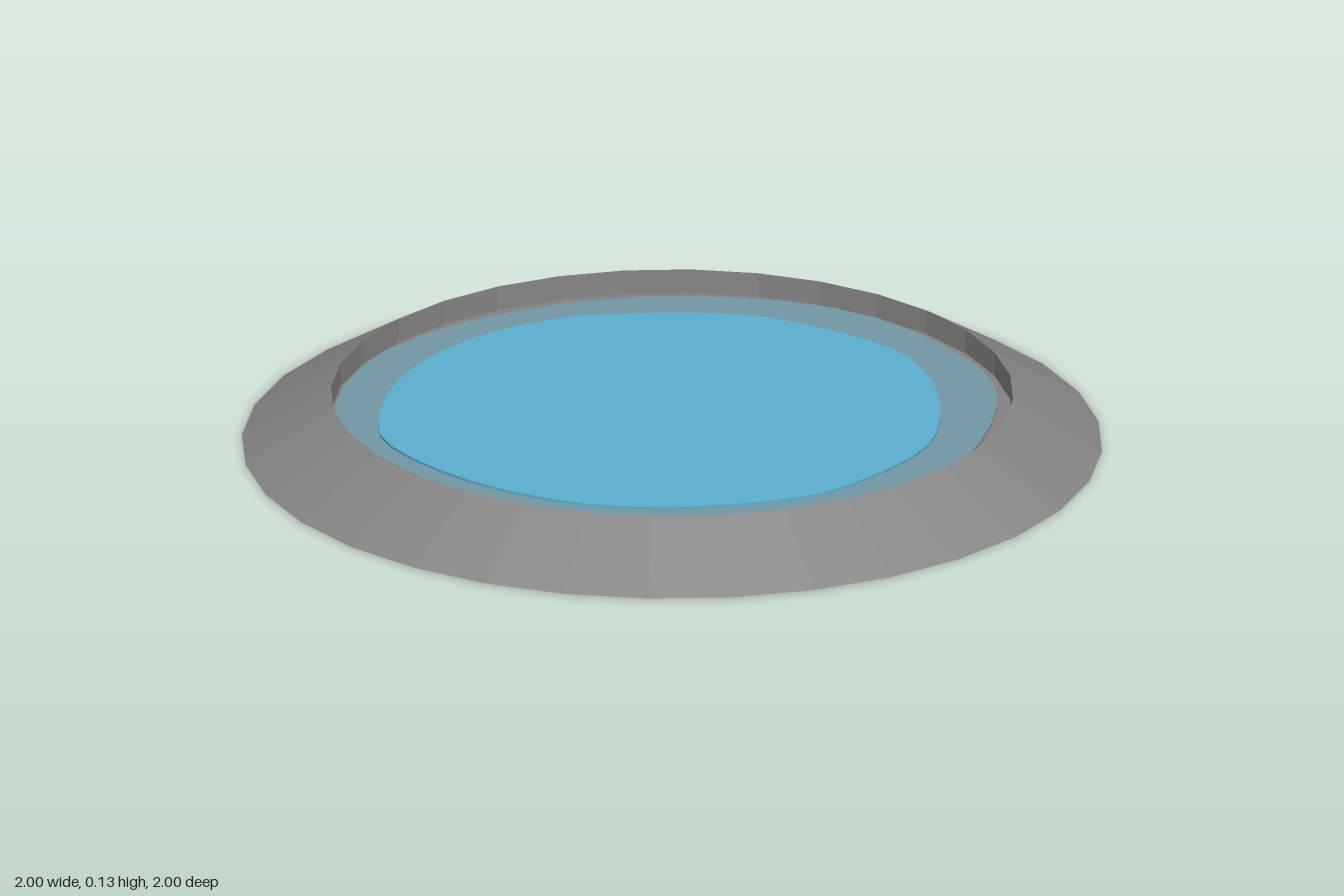
import * as THREE from 'three';

const material = (name, color, extra = {}) => {
  const m = new THREE.MeshStandardMaterial({ color, ...extra });
  m.name = name;
  return m;
};

export function createModel() {
  const group = new THREE.Group();
  const stone = material('stone grey', 0x868686, { flatShading: true });
  const bed = material('warm grey', 0x868082, { flatShading: true });
  const shallow = material('shallow blue grey', 0x7398a5, { flatShading: true });
  const water = material('water blue', 0x5bb0d0, { flatShading: true });

  const add = (name, geometry, mat) => {
    const mesh = new THREE.Mesh(geometry, mat);
    mesh.name = name;
    group.add(mesh);
    return mesh;
  };

  const SIDES = 32, FLOOR = 0.068;

  // Sloping bank with an upright inner wall and a closed underside
  const profile = [[0, 0.002], [1, 0.002], [0.793, 0.127], [0.793, FLOOR]];
  add('bank', new THREE.LatheGeometry(profile.map(p => new THREE.Vector2(...p)), SIDES), stone);

  // Basin floor inside the bank
  const floor = new THREE.CircleGeometry(0.793, SIDES).rotateX(-Math.PI / 2);
  add('basinFloor', floor, bed).position.y = FLOOR;

  // Irregular slab from an [x, z] outline, between two heights
  const slab = (outline, bottom, top) => {
    const points = outline.map(([x, z]) => new THREE.Vector2(x, -z));
    const curve = new THREE.SplineCurve([...points, points[0]]);
    const shape = new THREE.Shape(curve.getPoints(44).slice(0, -1));
    return new THREE.ExtrudeGeometry(shape, { depth: top - bottom, bevelEnabled: false })
      .rotateX(-Math.PI / 2).translate(0, bottom, 0);
  };

  // Pale shallows around the water
  add('shallows', slab([
    [0, -0.755], [0.2, -0.73], [0.4, -0.65], [0.58, -0.52], [0.7, -0.33], [0.765, -0.1],
    [0.77, 0.05], [0.73, 0.2], [0.62, 0.4], [0.5, 0.53], [0.3, 0.65], [0.1, 0.695],
    [-0.1, 0.695], [-0.3, 0.65], [-0.5, 0.54], [-0.63, 0.41], [-0.73, 0.2], [-0.785, 0],
    [-0.76, -0.2], [-0.66, -0.42], [-0.5, -0.6], [-0.25, -0.72],
  ], 0.001, 0.074), shallow);

  // Deep water in the middle
  add('deepWater', slab([
    [0, -0.655], [0.18, -0.61], [0.37, -0.53], [0.5, -0.4], [0.6, -0.25], [0.64, -0.1],
    [0.62, 0.1], [0.55, 0.3], [0.45, 0.44], [0.25, 0.57], [0.1, 0.615], [-0.1, 0.6],
    [-0.25, 0.56], [-0.4, 0.48], [-0.55, 0.32], [-0.65, 0.13], [-0.69, -0.05],
    [-0.65, -0.2], [-0.55, -0.38], [-0.4, -0.53], [-0.2, -0.63],
  ], 0, 0.08), water);

  return group;
}
